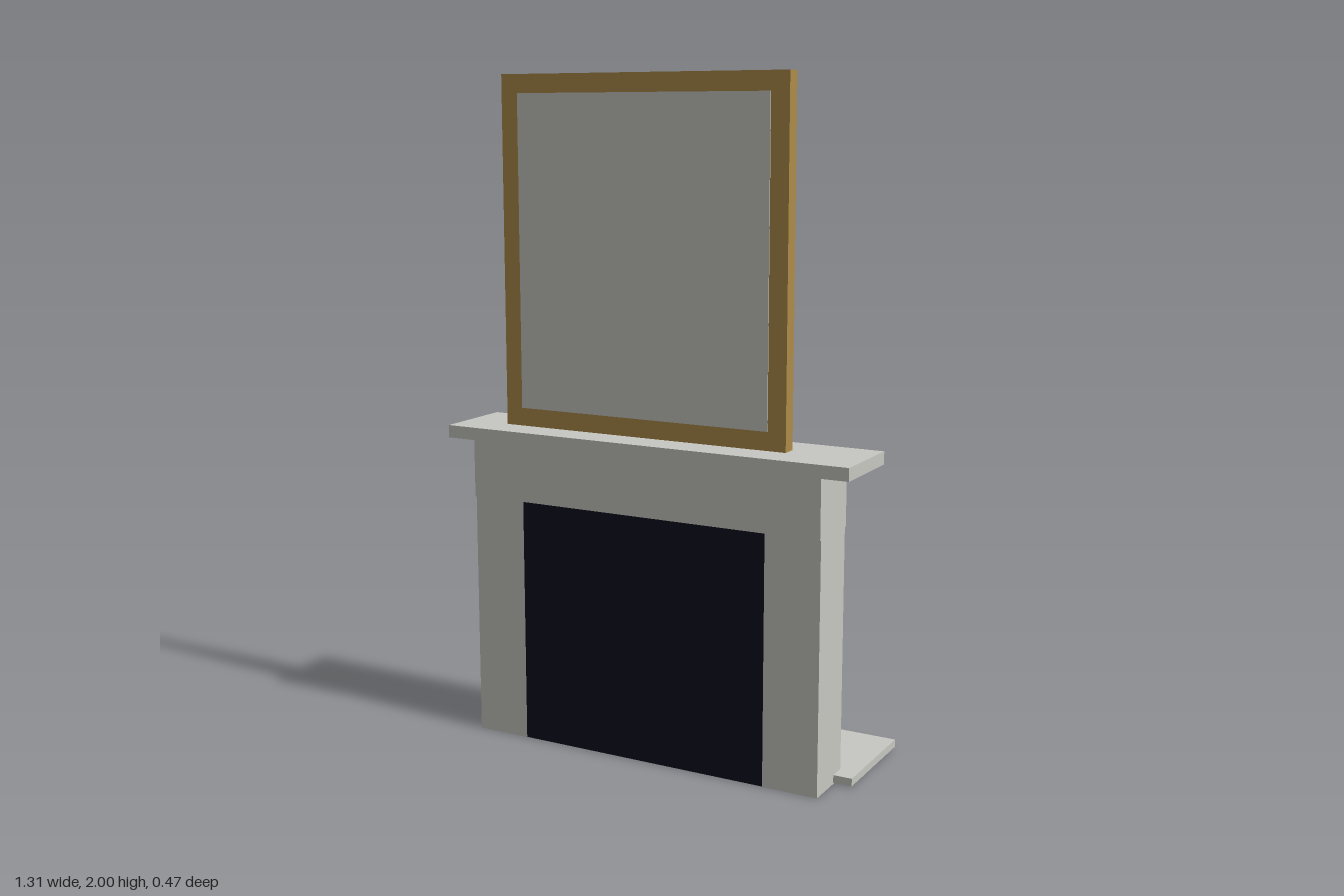
import * as THREE from 'three';

export function createModel() {
  const model = new THREE.Group();
  model.name = 'fireplaceWithMirror';

  const material = (name, color) => {
    const m = new THREE.MeshStandardMaterial({ color });
    m.name = name;
    return m;
  };
  const stone = material('paleStone', 0xc8c8c3);
  const gold = material('gildedWood', 0xae8c4a);
  const soot = material('sootBlack', 0x0b0b1e);

  // Adds a box given by its lower and upper corners
  const addBox = (name, mat, [x0, y0, z0], [x1, y1, z1], parent = model) => {
    const mesh = new THREE.Mesh(new THREE.BoxGeometry(x1 - x0, y1 - y0, z1 - z0), mat);
    mesh.position.set((x0 + x1) / 2, (y0 + y1) / 2, (z0 + z1) / 2);
    mesh.name = name;
    parent.add(mesh);
  };

  // Surround: hearth slab, two jambs, lintel and mantel shelf
  addBox('hearth', stone, [-0.627, 0.004, -0.237], [0.627, 0.027, 0.104]);
  addBox('leftJamb', stone, [0.4, 0, 0.053], [0.57, 0.745, 0.22]);
  addBox('rightJamb', stone, [-0.57, 0, 0.053], [-0.4, 0.745, 0.22]);
  addBox('lintel', stone, [-0.57, 0.745, 0.046], [0.57, 0.92, 0.226]);
  addBox('mantelShelf', stone, [-0.655, 0.92, -0.018], [0.655, 0.958, 0.237]);

  // Fire opening with grate and log
  addBox('firebox', soot, [-0.4, 0.001, 0.11], [0.4, 0.744, 0.22]);
  addBox('grate', soot, [-0.2, 0.05, 0.053], [0.2, 0.203, 0.22]);
  addBox('log', stone, [-0.14, 0.203, 0.083], [0.14, 0.265, 0.19]);

  // Picture frame: an extruded rectangle with a rectangular hole
  const frameShape = new THREE.Shape([
    [-0.457, 0.975], [0.457, 0.975], [0.457, 2], [-0.457, 2],
  ].map(([x, y]) => new THREE.Vector2(x, y)));
  frameShape.holes.push(new THREE.Path([
    [-0.402, 1.029], [-0.402, 1.946], [0.402, 1.946], [0.402, 1.029],
  ].map(([x, y]) => new THREE.Vector2(x, y))));
  const frame = new THREE.Mesh(
    new THREE.ExtrudeGeometry(frameShape, { depth: 0.045, bevelEnabled: false }), gold);
  frame.position.z = 0.166;
  frame.name = 'mirrorFrame';
  model.add(frame);

  // Mirror panel, set back on the hearth side
  addBox('mirrorPanel', stone, [-0.402, 1.029, 0.187], [0.402, 1.946, 0.214]);

  return model;
}
